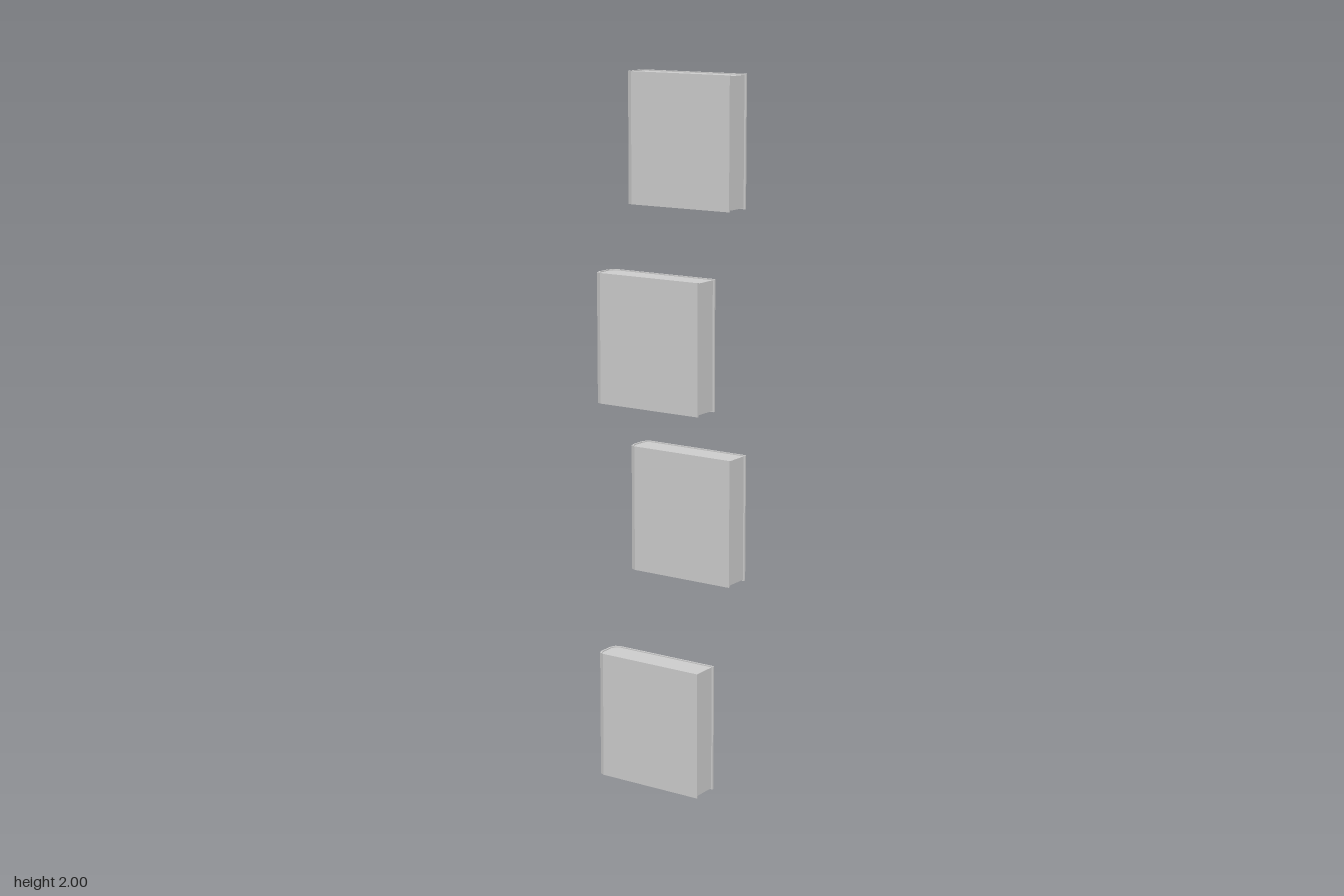
import * as THREE from 'three';

const HEIGHT = 0.366, HALF = 0.043, BOARD = 0.005, INSET = 0.003;
const material = new THREE.MeshStandardMaterial({ color: 0xcccccc, flatShading: true });

// Half of the rounded spine, from the flat board round to the back of the spine
const spineHalf = (t) => [
  [-0.151 + t * 0.4, HALF - t],
  [-0.165 + t * 0.8, HALF - 0.006 - t * 0.8],
  [-0.171 + t, HALF - 0.022 - t * 0.4],
];

// Full U-shaped outline, open at the fore edge, inset by t
function outline(t, foreEdge) {
  const half = [[foreEdge, HALF - t], ...spineHalf(t)];
  const mirrored = half.map(([x, z]) => [x, -z]).reverse();
  return [...half, ...mirrored].map(([x, z]) => new THREE.Vector2(x, z));
}

// Extrude a plan outline upwards from y0
function upright(name, points, height, y0) {
  const geometry = new THREE.ExtrudeGeometry(new THREE.Shape(points), {
    depth: height, bevelEnabled: false,
  });
  geometry.rotateX(-Math.PI / 2);
  geometry.translate(0, y0, 0);
  const mesh = new THREE.Mesh(geometry, material);
  mesh.name = name;
  return mesh;
}

function createBook() {
  const book = new THREE.Group();
  // Cover: two boards joined by the spine
  const shell = [...outline(0, 0.171), ...outline(BOARD, 0.171).reverse()];
  book.add(upright('cover', shell, HEIGHT, 0));
  // Page block, slightly recessed at the top, bottom and fore edge
  book.add(upright('pages', outline(BOARD, 0.166), HEIGHT - 2 * INSET, INSET));
  return book;
}

export function createModel() {
  const model = new THREE.Group();
  model.name = 'floatingBooks';
  // Height of the base and depth of each book, from the bottom up
  const places = [[0, 0.079], [0.576, -0.081], [1.095, 0.081], [2 - HEIGHT, -0.071]];
  places.forEach(([y, z], i) => {
    const book = createBook();
    book.name = `book${i + 1}`;
    book.position.set(0, y, z);
    model.add(book);
  });
  return model;
}
